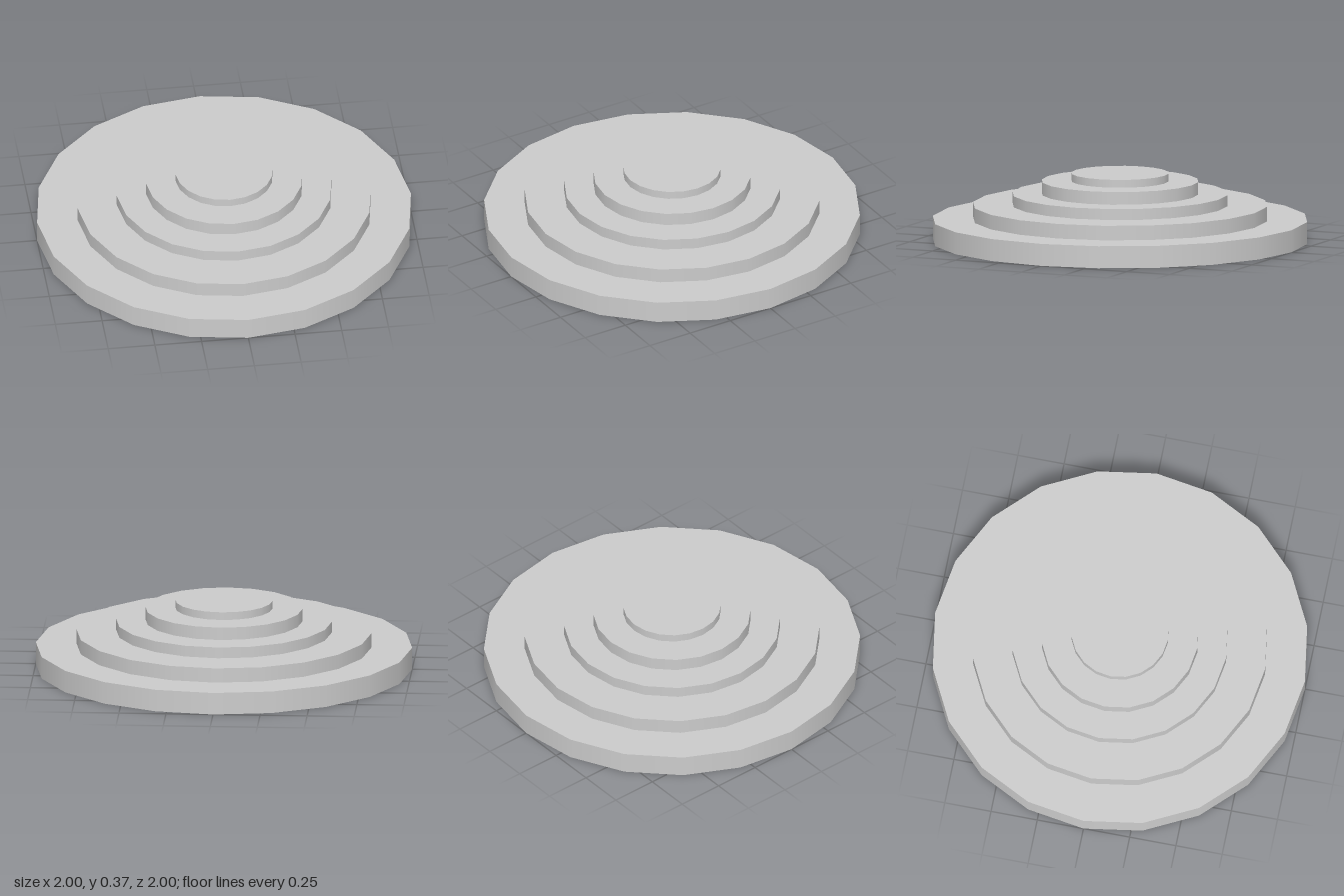
import * as THREE from 'three';

const SIDES = 20;

// Radius and top height of each round step, from the ground up
const TIERS = [
  { name: 'baseTier', radius: 1.0, top: 0.118 },
  { name: 'secondTier', radius: 0.785, top: 0.196 },
  { name: 'thirdTier', radius: 0.574, top: 0.255 },
  { name: 'fourthTier', radius: 0.418, top: 0.323 },
  { name: 'topTier', radius: 0.259, top: 0.365 },
];

export function createModel() {
  const model = new THREE.Group();
  model.name = 'steppedRoundPlatform';
  const material = new THREE.MeshStandardMaterial({ color: 0xcccccc });

  // Each step rests on the one below
  let bottom = 0;
  for (const { name, radius, top } of TIERS) {
    const height = top - bottom;
    const tier = new THREE.Mesh(new THREE.CylinderGeometry(radius, radius, height, SIDES), material);
    tier.name = name;
    tier.position.y = bottom + height / 2;
    model.add(tier);
    bottom = top;
  }
  return model;
}
